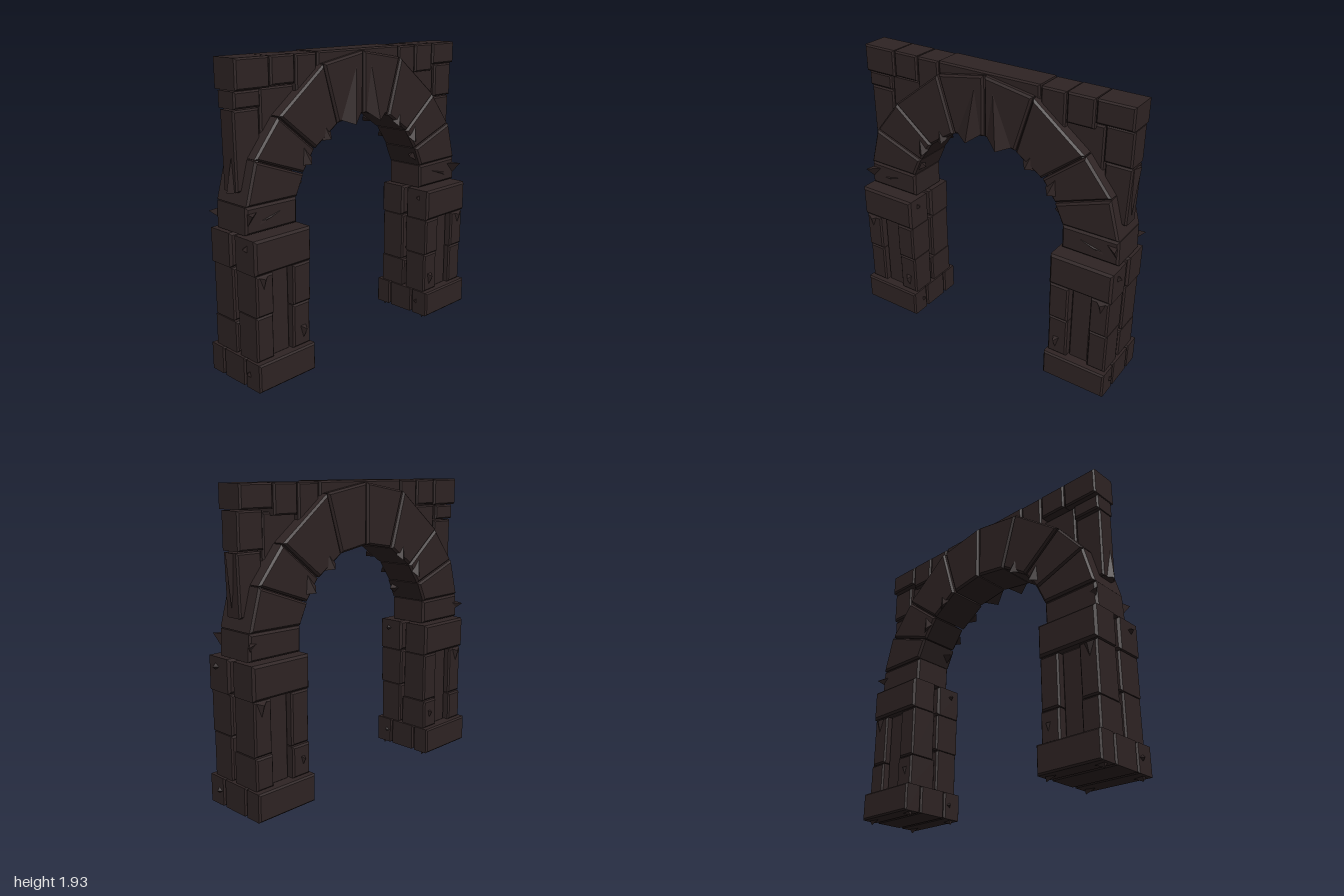
import * as THREE from 'three';
import { ConvexGeometry } from 'three/addons/geometries/ConvexGeometry.js';

const CX = -0.01; // mirror line of the arch

export function createModel() {
  const root = new THREE.Group();
  root.name = 'stoneArchway';
  const stoneMat = new THREE.MeshStandardMaterial({ color: 0x2f2424 });
  stoneMat.name = 'darkStone';
  stoneMat.flatShading = true;

  const add = (parent, name, geo) => {
    const m = new THREE.Mesh(geo, stoneMat);
    m.name = name;
    parent.add(m);
    return m;
  };
  const group = (name) => {
    const g = new THREE.Group();
    g.name = name;
    root.add(g);
    return g;
  };

  // Chamfered stone: outline in x/y, running from z0 to z1
  const stone = (parent, name, pts, z0, z1, b = 0.01) => {
    const shape = new THREE.Shape(pts.map(([x, y]) => new THREE.Vector2(x, y)));
    const geo = new THREE.ExtrudeGeometry(shape, {
      depth: z1 - z0 - 2 * b, bevelEnabled: true, bevelSegments: 1,
      bevelSize: b, bevelThickness: b, bevelOffset: -b,
    });
    geo.translate(0, 0, z0 + b);
    return add(parent, name, geo);
  };
  const block = (parent, name, x0, x1, y0, y1, z0, z1, b) =>
    stone(parent, name, [[x0, y0], [x1, y0], [x1, y1], [x0, y1]], z0, z1, b);

  // Jagged splinter: hull of four points
  const shard = (parent, ...p) =>
    add(parent, 'splinter', new ConvexGeometry(p.map((v) => new THREE.Vector3(...v))));

  // Pillars
  for (const s of [-1, 1]) {
    const p = group(s > 0 ? 'leftPillar' : 'rightPillar');
    const X = (u) => CX + s * u;
    const pb = (name, u0, u1, y0, y1, z0, z1, b) =>
      block(p, name, Math.min(X(u0), X(u1)), Math.max(X(u0), X(u1)), y0, y1, z0, z1, b);

    // Base of three courses
    [[0.1, 0.237], [-0.103, 0.096], [-0.23, -0.107]].forEach(([a, b]) =>
      pb('baseStone', 0.535, 0.968, 0.043, 0.217, a, b));

    // Corner stones of the shaft, two high on every corner
    for (const [u0, u1] of [[0.545, 0.678], [0.828, 0.952]]) {
      pb('shaftStone', u0, u1, 0.218, 0.492, 0.03, 0.203);
      pb('shaftStone', u0, u1, 0.497, 0.745, 0.022, 0.212);
      pb('shaftStone', u0, u1, 0.218, 0.413, -0.195, 0.012);
      pb('shaftStone', u0, u1, 0.419, 0.745, -0.188, -0.002);
    }
    // Recessed core, showing as a slot at front and back
    pb('shaftCore', 0.6, 0.9, 0.2, 0.77, -0.12, 0.13);
    pb('slotPanel', 0.683, 0.823, 0.21, 0.75, -0.155, 0.17);

    // Capital, split front and back
    pb('capitalStone', 0.543, 0.962, 0.75, 0.957, 0.026, 0.22, 0.014);
    pb('capitalStone', 0.543, 0.962, 0.75, 0.957, -0.198, -0.004, 0.014);

    // Splinters on the pillar
    for (const z of [-0.17, 0.18]) {
      for (const [u, t] of [[0.95, 0.94], [0.56, 0.555]]) {
        const d = u > 0.7 ? -0.1 : 0.1;
        shard(p, [X(u), 0.055, z - 0.02], [X(u), 0.055, z + 0.02], [X(u + d), 0.055, z], [X(t), 0.017, z]);
      }
      const k = Math.sign(z);
      const f = k > 0 ? 0.205 : -0.185;
      shard(p, [X(0.86), 0.74, f], [X(0.94), 0.74, f], [X(0.9), 0.64, f], [X(0.9), 0.725, f + k * 0.026]);
      shard(p, [X(0.58), 0.35, f - k * 0.01], [X(0.63), 0.35, f - k * 0.01], [X(0.6), 0.25, f - k * 0.01], [X(0.6), 0.33, f + k * 0.032]);
    }
    for (const [u, y, tip] of [[0.955, 0.9, 0.99], [0.96, 0.135, 0.99], [0.552, 0.9, 0.52], [0.542, 0.135, 0.52]])
      shard(p, [X(u), y - 0.025, 0.15], [X(u), y + 0.025, 0.15], [X(u), y, 0.11], [X(tip), y, 0.14]);
  }

  // Arch ring: joints from the springing to the crown, [inner, outer]
  const joints = [
    [[0.565, 0.965], [0.95, 0.965]],
    [[0.562, 1.122], [0.943, 1.128]],
    [[0.503, 1.25], [0.872, 1.385]],
    [[0.41, 1.383], [0.692, 1.608]],
    [[0.224, 1.508], [0.34, 1.88]],
    [[0, 1.545], [0, 1.938]],
  ];
  const arch = group('archRing');
  for (const s of [-1, 1]) {
    for (let i = 0; i < joints.length - 1; i++) {
      const [a, b] = joints[i], [c, d] = joints[i + 1];
      const pts = [a, b, d, c];
      const mx = pts.reduce((t, p) => t + p[0], 0) / 4;
      const my = pts.reduce((t, p) => t + p[1], 0) / 4;
      const k = i === 0 ? 0.985 : 0.972;
      const grow = (i % 2) * 0.006;
      stone(arch, i ? 'archStone' : 'springerStone',
        pts.map(([x, y]) => [CX + s * (mx + (x - mx) * k), my + (y - my) * k]),
        -0.15 - grow, 0.127 + grow, 0.013);
    }
    const X = (u) => CX + s * u;
    // Hidden backing that closes the joints behind the faces
    stone(arch, 'jointFill', [
      ...joints.map(([a, b]) => [X(a[0] + (b[0] - a[0]) * 0.18), a[1] + (b[1] - a[1]) * 0.18]),
      ...joints.map(([a, b]) => [X(a[0] + (b[0] - a[0]) * 0.9), a[1] + (b[1] - a[1]) * 0.9]).reverse(),
    ], -0.12, 0.1);

    // Split facets on the front of the crown stones
    shard(arch, [X(0.2), 1.53, 0.125], [X(0.02), 1.56, 0.125], [X(0.06), 1.9, 0.12], [X(0.11), 1.495, 0.168]);
    // Splinters along the inner edge
    for (const [u, y, t] of [[0.47, 1.33, 0.035], [0.31, 1.455, 0.032]]) {
      for (const [z, k] of [[0.122, 1], [-0.148, -1]])
        shard(arch, [X(u - 0.03), y + 0.01, z], [X(u + 0.05), y - 0.03, z], [X(u + 0.04), y + 0.09, z], [X(u), y - 0.025, z + k * t]);
    }
    shard(arch, [X(0.535), 1.23, 0.1], [X(0.55), 1.16, 0.1], [X(0.54), 1.2, 0.04], [X(0.49), 1.195, 0.09]);
    // Splinters and cracked ridge on the springer
    shard(arch, [X(0.9), 0.99, 0.12], [X(0.62), 1.09, 0.12], [X(0.88), 1.03, 0.12], [X(0.78), 1.04, 0.136]);
    shard(arch, [X(0.93), 1.0, 0.11], [X(0.86), 1.09, 0.12], [X(0.93), 1.09, 0.11], [X(0.945), 1.09, 0.188]);
    shard(arch, [X(0.93), 1.02, -0.14], [X(0.87), 1.07, -0.14], [X(0.93), 1.08, -0.14], [X(0.975), 1.06, -0.18]);
  }

  // Spandrel wall: x0, x1, y0, y1, back z, front z
  const wall = group('spandrelWall');
  const TOP = [-0.108, 0.09], MID = [-0.083, 0.068], LOW = [-0.068, 0.055];
  [
    [-0.963, -0.726, 1.768, 1.942, ...TOP],
    [-0.718, -0.54, 1.776, 1.942, ...TOP],
    [-0.532, -0.372, 1.66, 1.94, ...TOP],
    [0.358, 0.518, 1.66, 1.94, ...TOP],
    [0.526, 0.7, 1.76, 1.942, ...TOP],
    [0.708, 0.938, 1.8, 1.942, ...TOP],
    [-0.96, -0.778, 1.666, 1.762, ...MID],
    [-0.772, -0.5, 1.46, 1.766, ...LOW],
    [0.762, 0.938, 1.574, 1.794, ...MID],
    [0.5, 0.755, 1.46, 1.78, ...LOW],
  ].forEach((r) => block(wall, 'wallStone', ...r));
  // Long stone over the crown
  block(wall, 'crownSlab', -0.365, 0.35, 1.85, 1.946, ...TOP);
  // Tall side stones; the outer edge flares
  stone(wall, 'sideStone', [[-0.96, 1.658], [-0.778, 1.658], [-0.778, 1.2], [-0.955, 1.2]], ...LOW);
  stone(wall, 'sideStone', [[0.94, 1.566], [0.768, 1.566], [0.768, 1.2], [0.93, 1.2]], ...LOW);
  shard(wall, [-0.955, 1.42, 0.02], [-0.94, 1.2, 0.05], [-0.94, 1.2, -0.05], [-0.985, 1.195, 0]);
  shard(wall, [0.935, 1.25, 0], [0.93, 1.56, 0.05], [0.93, 1.56, -0.05], [0.967, 1.572, 0]);

  return root;
}
